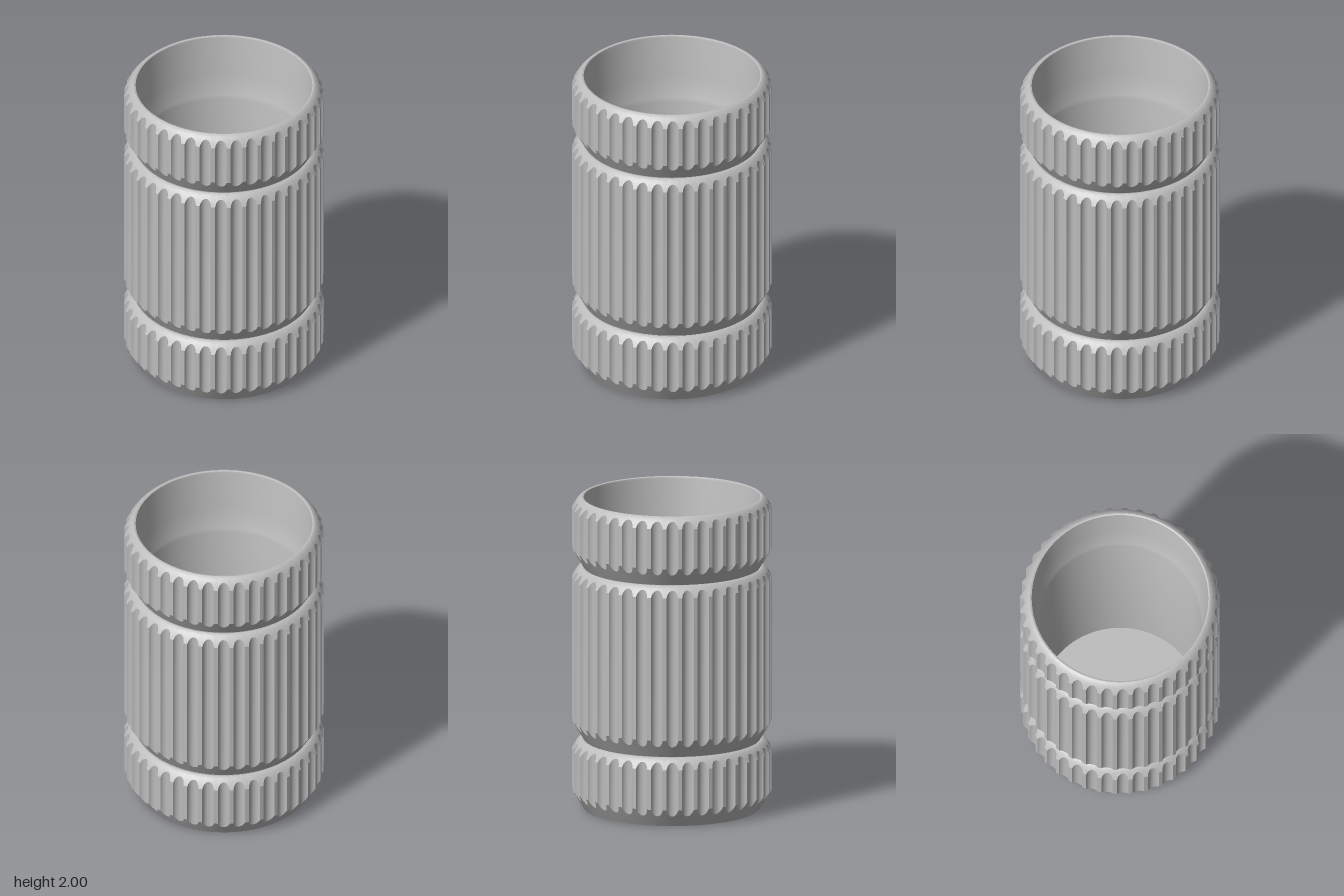
import * as THREE from 'three';
import { toCreasedNormals } from 'three/addons/utils/BufferGeometryUtils.js';

const FLUTES = 40, SEGS = 10;
const OUTER = 0.627, NECK = 0.557, LIP = 0.565;

// Outline of the fluted cross-section: round grooves with narrow lands between
function fluteOutline() {
  const radius = 0.039, centre = 0.6 + radius;
  const sweep = Math.acos((centre - OUTER) / radius);
  const outline = [];
  for (let k = 0; k < FLUTES; k++) {
    for (let s = 0; s <= SEGS; s++) {
      const a = (s / SEGS * 2 - 1) * sweep;
      const u = centre - radius * Math.cos(a), v = radius * Math.sin(a);
      outline.push({ angle: k / FLUTES * Math.PI * 2 + Math.atan2(v, u), r: Math.hypot(u, v) });
    }
  }
  return outline;
}

// One band: cone below, fluted wall, rounded shoulder above
function bandGeometry(bottom, top) {
  const outline = fluteOutline(), positions = [], index = [];
  const shoulderY = r => top - 0.068 * Math.pow((r - LIP) / (OUTER - LIP), 1.6);
  let rows = 0;
  for (const { angle, r } of outline) {
    const profile = [[NECK, bottom], [r, bottom + (r - NECK) / (OUTER - NECK) * 0.116]];
    for (let s = 0; s <= 5; s++) {
      const q = r + (LIP - r) * s / 5;
      profile.push([q, shoulderY(q)]);
    }
    profile.push([0.555, top - 0.003]);
    rows = profile.length;
    for (const [q, y] of profile) positions.push(q * Math.sin(angle), y, q * Math.cos(angle));
  }
  const n = outline.length;
  for (let i = 0; i < n; i++) {
    const a = i * rows, b = ((i + 1) % n) * rows;
    for (let j = 0; j < rows - 1; j++) {
      index.push(a + j, b + j, b + j + 1, a + j, b + j + 1, a + j + 1);
    }
  }
  const geometry = new THREE.BufferGeometry();
  geometry.setAttribute('position', new THREE.Float32BufferAttribute(positions, 3));
  geometry.setIndex(index);
  return toCreasedNormals(geometry, 0.45);
}

export function createModel() {
  const group = new THREE.Group();
  const grey = new THREE.MeshStandardMaterial({ color: 0xbcbcbc });
  grey.name = 'plain grey';
  const add = (name, geometry) => {
    const mesh = new THREE.Mesh(geometry, grey);
    mesh.name = name;
    group.add(mesh);
    return mesh;
  };

  // Three stacked fluted bands
  add('lowerBand', bandGeometry(0, 0.446));
  add('middleBand', bandGeometry(0.446, 1.555));
  add('upperBand', bandGeometry(1.555, 2));

  // Hollow inside: lip, upper wall, sloping step, lower wall and floor
  const inside = [
    [LIP, 2], [0.558, 1.995], [0.555, 1.985], [0.553, 1.72],
    [0.515, 1.585], [0.508, 1.56], [0.506, 0.06], [0, 0.06],
  ].map(([r, y]) => new THREE.Vector2(r, y));
  add('inside', toCreasedNormals(new THREE.LatheGeometry(inside, 96), 0.5));

  // Flat underside
  add('base', new THREE.CircleGeometry(NECK, 96).rotateX(Math.PI / 2));

  return group;
}
